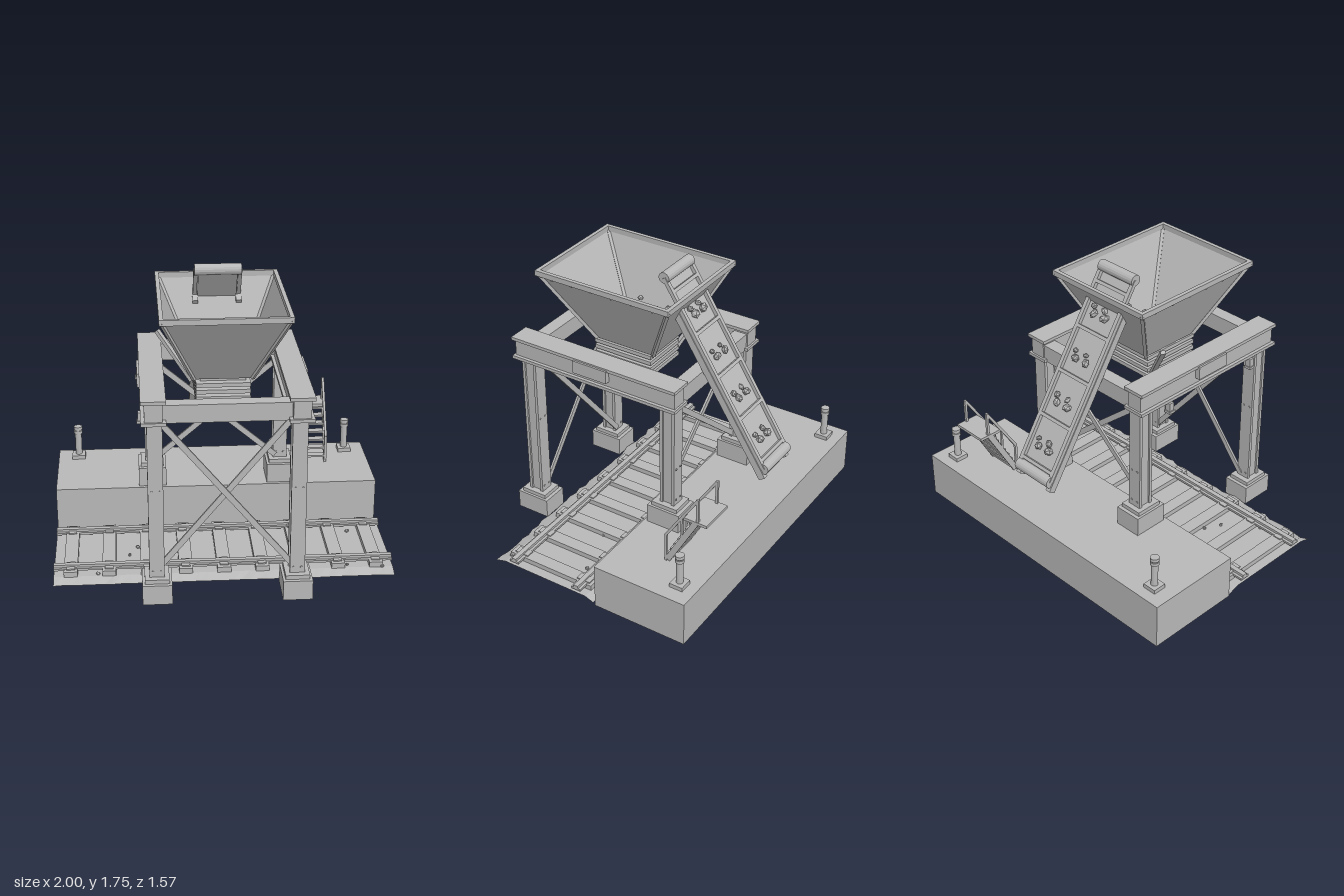
import * as THREE from 'three';

const grey = new THREE.MeshStandardMaterial({ color: 0xb8b8b8, side: THREE.DoubleSide, flatShading: true });
grey.name = 'plain grey';

let seed = 7;
const rnd = () => (seed = (seed * 16807) % 2147483647) / 2147483647;

function add(parent, name, geo, x = 0, y = 0, z = 0) {
  const m = new THREE.Mesh(geo, grey);
  m.name = name;
  m.position.set(x, y, z);
  parent.add(m);
  return m;
}

// Box given by its extents on each axis
function box(parent, name, x0, x1, y0, y1, z0, z1) {
  return add(parent, name, new THREE.BoxGeometry(Math.abs(x1 - x0), y1 - y0, Math.abs(z1 - z0)),
    (x0 + x1) / 2, (y0 + y1) / 2, (z0 + z1) / 2);
}

// Straight bar between two points
function bar(parent, name, a, b, w, h) {
  const A = new THREE.Vector3(...a), B = new THREE.Vector3(...b);
  const m = add(parent, name, new THREE.BoxGeometry(w, h, A.distanceTo(B)));
  m.position.copy(A).add(B).multiplyScalar(0.5);
  m.lookAt(B);
  return m;
}

// Open shell through rectangular rings [halfX, zBack, zFront, y]
function shell(rings) {
  const p = [];
  const corners = ([h, b, f, y]) => [[-h, y, f], [h, y, f], [h, y, b], [-h, y, b]];
  for (let r = 0; r + 1 < rings.length; r++) {
    const lo = corners(rings[r]), hi = corners(rings[r + 1]);
    for (let i = 0; i < 4; i++) {
      const j = (i + 1) % 4;
      p.push(...lo[i], ...lo[j], ...hi[j], ...lo[i], ...hi[j], ...hi[i]);
    }
  }
  const g = new THREE.BufferGeometry();
  g.setAttribute('position', new THREE.Float32BufferAttribute(p, 3));
  g.computeVertexNormals();
  return g;
}

function rock(parent, x, y, z, s) {
  const m = add(parent, 'rock', new THREE.IcosahedronGeometry(s, 0), x, y, z);
  m.rotation.set(rnd() * 6, rnd() * 6, rnd() * 6);
  m.scale.set(0.7 + rnd() * 0.6, 0.7 + rnd() * 0.5, 0.7 + rnd() * 0.6);
}

function group(parent, name) {
  const g = new THREE.Group();
  g.name = name;
  parent.add(g);
  return g;
}

export function createModel() {
  const root = new THREE.Group();
  root.name = 'loadingStation';

  // Dock, open underneath
  const dock = group(root, 'dock');
  add(dock, 'dockWalls', shell([[1, -0.76, -0.16, 0], [1, -0.76, -0.16, 0.285]]));
  const top = add(dock, 'dockTop', new THREE.PlaneGeometry(2, 0.6), 0, 0.285, -0.46);
  top.rotation.x = -Math.PI / 2;
  for (const s of [-1, 1]) {
    box(dock, 'bollardPlate', s * 0.87 - 0.042, s * 0.87 + 0.042, 0.285, 0.31, -0.692, -0.608);
    add(dock, 'bollard', new THREE.CylinderGeometry(0.021, 0.021, 0.19, 12), s * 0.87, 0.4, -0.65);
    for (const y of [0.464, 0.491])
      add(dock, 'bollardCap', new THREE.CylinderGeometry(0.027, 0.027, 0.02, 12), s * 0.87, y, -0.65);
  }

  // Track: ballast bed, sleepers, rails
  const track = group(root, 'track');
  const bed = new THREE.PlaneGeometry(2, 1, 40, 3);
  bed.rotateX(-Math.PI / 2);
  const bp = bed.attributes.position;
  const edge = [[-0.15, 0.012], [-0.09, 0.035], [0.49, 0.035], [0.555, 0.012]];
  for (let i = 0; i < bp.count; i++) {
    const row = Math.floor(i / 41), [z, y] = edge[row];
    const ragged = row % 3 === 0 ? (rnd() - 0.5) * 0.02 : 0;
    bp.setZ(i, z + ragged);
    bp.setY(i, y + ragged * 0.4);
  }
  add(track, 'ballast', bed);
  for (let i = 0; i < 9; i++) {
    const x = (i - 4) * 0.225;
    box(track, 'sleeper', x - 0.04, x + 0.04, 0.028, 0.066, -0.09, 0.495);
    for (const z of [-0.025, 0.425]) box(track, 'railClip', x - 0.025, x + 0.025, 0.066, 0.073, z - 0.045, z + 0.045);
  }
  for (const z of [-0.025, 0.425]) {
    box(track, 'railFoot', -1, 1, 0.055, 0.068, z - 0.032, z + 0.032);
    box(track, 'railHead', -1, 1, 0.068, 0.084, z - 0.015, z + 0.015);
  }
  for (let i = 0; i < 14; i++) rock(track, rnd() * 1.9 - 0.95, 0.04, rnd() * 0.6 - 0.08, 0.012);

  // Frame: footings, flanged posts, long beams
  const frame = group(root, 'frame');
  for (const s of [-1, 1]) {
    for (const [z, y, pz] of [[0.675, 0, 0.675], [-0.29, 0.285, -0.293]]) {
      box(frame, 'footing', s * 0.4 - 0.085, s * 0.4 + 0.085, y, y + 0.12, z - 0.108, z + 0.108);
      box(frame, 'footingCap', s * 0.4 - 0.07, s * 0.4 + 0.07, y + 0.12, y + 0.145, z - 0.085, z + 0.085);
      box(frame, 'postWeb', s * 0.4 - 0.032, s * 0.4 + 0.032, y + 0.145, 1.1, pz - 0.03, pz + 0.03);
      for (const t of [-1, 1]) {
        box(frame, 'postFlange', s * 0.4 - 0.043, s * 0.4 + 0.043, y + 0.145, 1.1, pz + t * 0.03, pz + t * 0.049);
        for (const by of [y + 0.18, 0.68]) for (const bx of [-0.022, 0.022]) {
          const b = add(frame, 'bolt', new THREE.CylinderGeometry(0.007, 0.007, 0.006, 6), s * 0.4 + bx, by, pz + t * 0.05);
          b.rotation.x = Math.PI / 2;
        }
      }
    }
    const x = s * 0.405;
    box(frame, 'beamWeb', x - 0.05, x + 0.05, 1.105, 1.22, -0.35, 0.755);
    box(frame, 'beamTopFlange', x - 0.07, x + 0.07, 1.215, 1.235, -0.362, 0.768);
    box(frame, 'beamBottomFlange', x - 0.07, x + 0.07, 1.09, 1.11, -0.362, 0.768);
    box(frame, 'beamSidePlate', s * 0.45, s * 0.487, 1.145, 1.225, 0.09, 0.32);
  }
  for (const z of [0.68, -0.3]) box(frame, 'crossBeam', -0.36, 0.36, 1.09, 1.195, z - 0.042, z + 0.042);
  for (const z of [0.545, -0.135]) {
    box(frame, 'hanger', -0.488, -0.455, 1.03, 1.09, z - 0.016, z + 0.016);
    box(frame, 'hangerFoot', -0.495, -0.45, 1.025, 1.04, z - 0.022, z + 0.022);
  }
  // Crossed braces between each pair of posts
  for (const s of [-1, 1]) {
    bar(frame, 'frontBrace', [s * 0.38, 0.16, 0.635 + s * 0.008], [-s * 0.38, 1.08, 0.635 + s * 0.008], 0.014, 0.034);
    bar(frame, 'backBrace', [s * 0.37, 0.45, -0.25 + s * 0.008], [-s * 0.37, 1.08, -0.25 + s * 0.008], 0.014, 0.034);
  }

  // Hopper shell, rim, corner strips, throat
  const hopper = group(root, 'hopper');
  add(hopper, 'hopperShell', shell([[0.14, 0.03, 0.35, 1.2], [0.165, -0.02, 0.37, 1.205], [0.352, -0.24, 0.645, 1.64]]));
  for (const s of [-1, 1]) {
    box(hopper, 'rimSide', s * 0.34, s * 0.364, 1.622, 1.655, -0.25, 0.655);
    for (const [zt, zb] of [[0.645, 0.37], [-0.24, -0.02]])
      bar(hopper, 'cornerStrip', [s * 0.165, 1.205, zb], [s * 0.352, 1.64, zt], 0.02, 0.02);
    for (let i = 0; i < 6; i++) {
      const b = add(hopper, 'rimBolt', new THREE.CylinderGeometry(0.008, 0.008, 0.012, 6), s * 0.35, 1.618, -0.14 + i * 0.137);
      b.rotation.z = Math.PI / 2;
    }
  }
  box(hopper, 'rimFront', -0.364, 0.364, 1.622, 1.655, 0.631, 0.655);
  box(hopper, 'rimBack', -0.364, 0.364, 1.622, 1.655, -0.25, -0.226);
  add(hopper, 'throat', shell([[0.13, 0.03, 0.35, 1.05], [0.13, 0.03, 0.35, 1.2]]));
  for (const y of [1.055, 1.095, 1.135, 1.175])
    add(hopper, 'throatRing', shell([[0.13, 0.03, 0.35, y - 0.012], [0.155, 0.005, 0.395, y - 0.012],
      [0.155, 0.005, 0.395, y + 0.012], [0.13, 0.03, 0.35, y + 0.012]]));
  for (let i = 0; i < 4; i++) {
    const x = (i - 1.5) * 0.068;
    box(hopper, 'grateBar', x - 0.018, x + 0.018, 1.17, 1.2, 0.03, 0.35);
  }
  bar(hopper, 'gateLever', [-0.36, 1.345, -0.08], [-0.16, 1.07, 0.04], 0.03, 0.022);

  // Ore scattered inside the hopper
  for (let i = 0; i < 38; i++) {
    const x = (rnd() + rnd() - 1) * 0.24, z = 0.18 + (rnd() + rnd() - 1) * 0.26;
    const climb = Math.max(0, (Math.abs(x) - 0.15) * 2.33, (z - 0.36) * 1.6, -z * 2);
    rock(hopper, x, 1.225 + climb + rnd() * 0.06, z, 0.016 + rnd() * 0.012);
  }

  // Inclined conveyor; local z runs up the slope, local y is outward
  const conveyor = group(root, 'conveyor');
  const L = 1.244;
  conveyor.position.set(0, 0.67, -0.755);
  conveyor.rotation.x = -Math.atan2(1.045, 0.675);
  box(conveyor, 'belt', -0.115, 0.115, -0.024, -0.012, 0, L);
  for (const s of [-1, 1]) {
    box(conveyor, 'sideFrame', s * 0.112, s * 0.145, -0.062, -0.018, -0.055, 1.03);
    box(conveyor, 'sideRail', s * 0.118, s * 0.142, -0.016, 0.008, 0, L);
  }
  for (const z of [0, L]) {
    const r = add(conveyor, 'roller', new THREE.CylinderGeometry(0.034, 0.034, 0.275, 16), 0, -0.005, z);
    r.rotation.z = Math.PI / 2;
  }
  for (let i = 0; i < 5; i++) {
    const z = 0.05 + i * 0.275;
    box(conveyor, 'cleat', -0.12, 0.12, -0.014, 0.008, z - 0.01, z + 0.01);
    if (i < 4) for (const x of [-0.04, 0.045]) {
      rock(conveyor, x, 0.004, z + 0.1, 0.026);
      rock(conveyor, x + 0.02, 0.002, z + 0.14, 0.018);
    }
  }

  // Stairs with landing and handrails
  const stairs = group(root, 'stairs');
  for (const x of [0.518, 0.722]) {
    bar(stairs, 'stringer', [x, 0.295, -0.478], [x, 0.625, -0.66], 0.014, 0.036);
    box(stairs, 'lowerPost', x - 0.008, x + 0.008, 0.285, 0.465, -0.475, -0.46);
    box(stairs, 'upperPost', x - 0.008, x + 0.008, 0.62, 0.79, -0.68, -0.665);
    bar(stairs, 'handrail', [x, 0.462, -0.465], [x, 0.785, -0.672], 0.016, 0.016);
    bar(stairs, 'railStay', [x, 0.46, -0.57], [x, 0.63, -0.57], 0.012, 0.012);
  }
  for (let i = 0; i < 7; i++) {
    const t = (i + 0.6) / 7.2;
    box(stairs, 'tread', 0.52, 0.72, 0.29 + t * 0.33, 0.302 + t * 0.33, -0.5 - t * 0.18, -0.45 - t * 0.18);
  }
  box(stairs, 'landing', 0.508, 0.732, 0.622, 0.64, -0.735, -0.585);

  return root;
}
